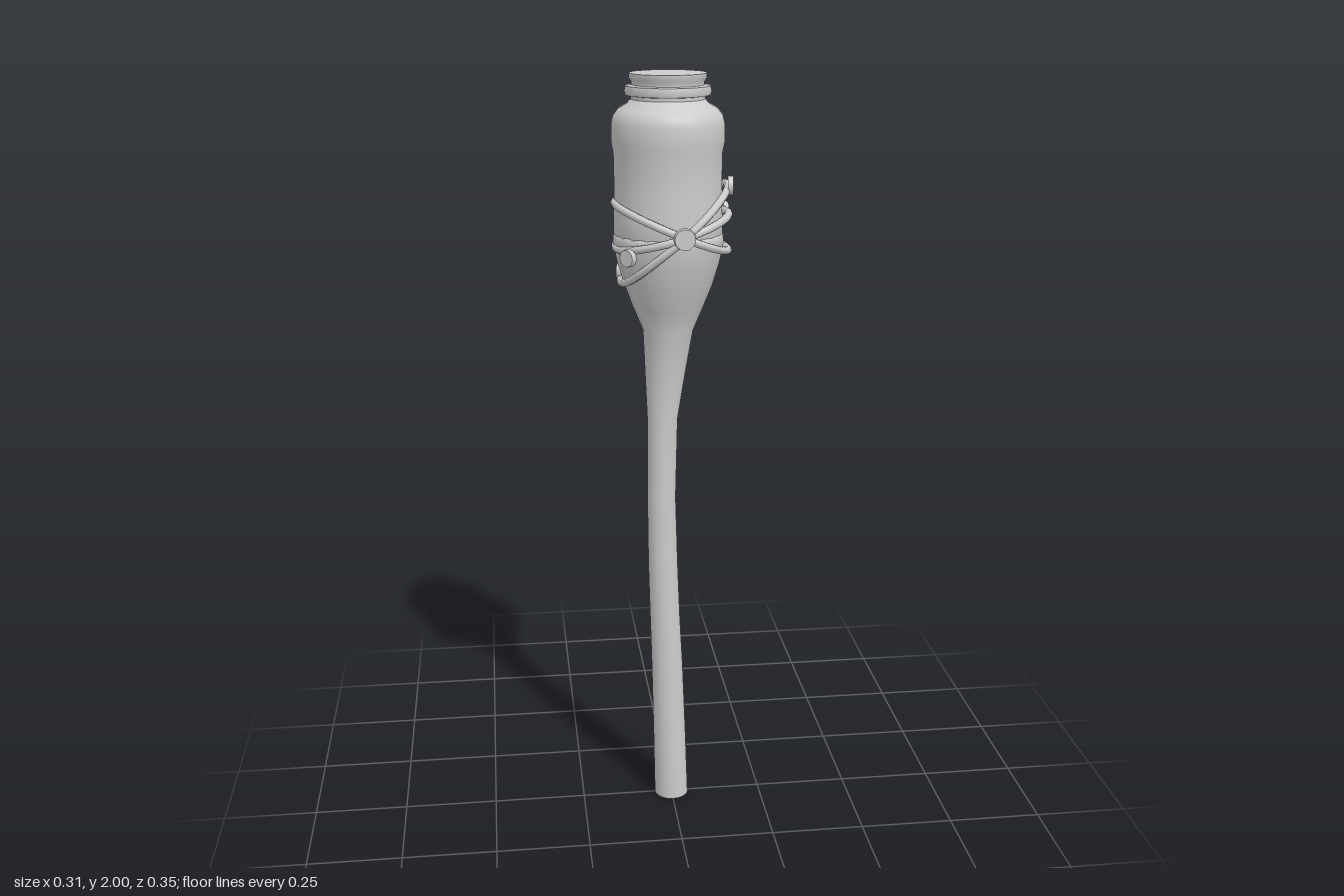
import * as THREE from 'three';
import { toCreasedNormals, mergeVertices } from 'three/addons/utils/BufferGeometryUtils.js';

const material = new THREE.MeshStandardMaterial({ color: 0xcccccc });

function add(parent, name, geometry) {
  const mesh = new THREE.Mesh(geometry, material);
  mesh.name = name;
  parent.add(mesh);
  return mesh;
}

// Curved wooden shaft that swells into a cup: [height, radius, x of the centre]
function shaftGeometry() {
  const sections = [
    [0, 0.047, 0], [0.2, 0.045, -0.005], [0.4, 0.043, -0.011], [0.55, 0.041, -0.017],
    [0.7, 0.04, -0.022], [0.9, 0.038, -0.026], [1.12, 0.04, -0.023], [1.24, 0.052, -0.016],
    [1.36, 0.065, -0.008], [1.42, 0.09, -0.008], [1.48, 0.113, -0.007], [1.54, 0.131, -0.007],
    [1.59, 0.141, -0.007], [1.61, 0.139, -0.007], [1.615, 0.125, -0.007],
  ];
  const geometry = new THREE.LatheGeometry(sections.map(([y, r]) => new THREE.Vector2(r, y)), 20);
  const p = geometry.attributes.position;
  for (let i = 0; i < p.count; i++) p.setX(i, p.getX(i) + sections[i % sections.length][2]);
  geometry.deleteAttribute('uv');
  geometry.deleteAttribute('normal');
  const merged = mergeVertices(geometry);
  merged.computeVertexNormals();
  return merged;
}

// Jar with rounded shoulder, neck collar and flat lid
function jarGeometry() {
  const profile = [
    [0, 1.56], [0.11, 1.56], [0.128, 1.58], [0.138, 1.61], [0.137, 1.65], [0.135, 1.72],
    [0.136, 1.81], [0.141, 1.835], [0.141, 1.88], [0.136, 1.9], [0.124, 1.915], [0.103, 1.927],
    [0.092, 1.938], [0.092, 1.946], [0.105, 1.948], [0.108, 1.958], [0.105, 1.97],
    [0.09, 1.972], [0.09, 1.98], [0.096, 1.988], [0.096, 2], [0, 2],
  ].map(([r, y]) => new THREE.Vector2(r, y));
  return toCreasedNormals(new THREE.LatheGeometry(profile, 24), 0.75);
}

// Closed rope on a tilted plane, hugging the cup where it dips low
function ropeGeometry(slope, phase) {
  const points = [];
  const n = 18;
  for (let i = 0; i < n; i++) {
    const a = (i / n) * Math.PI * 2;
    const wobble = 1 + 0.012 * Math.sin(3 * a + phase);
    const y = 1.62 + slope * (0.143 * Math.cos(a) - 0.015);
    const fit = wobble * (y < 1.57 ? 1 - (1.57 - y) * 1.3 : 1);
    points.push(new THREE.Vector3(0.143 * fit * Math.cos(a), y, 0.154 * fit * Math.sin(a)));
  }
  return new THREE.TubeGeometry(new THREE.CatmullRomCurve3(points, true), 36, 0.01, 8, true);
}

export function createModel() {
  const model = new THREE.Group();
  model.name = 'jarTorch';

  add(model, 'shaft', shaftGeometry());
  const end = add(model, 'shaftEnd', new THREE.CircleGeometry(0.047, 20));
  end.rotation.x = Math.PI / 2;

  const jar = add(model, 'jar', jarGeometry());
  jar.position.x = -0.008;

  // Three ropes crossing at the front and back
  const ropes = new THREE.Group();
  ropes.name = 'ropes';
  model.add(ropes);
  [-0.42, 0.29, 0.85].forEach((slope, i) => add(ropes, 'rope', ropeGeometry(slope, i * 2)));

  // Round studs on the ropes, facing outward: [x, y, z, radius, facing angle]
  const studs = new THREE.Group();
  studs.name = 'studs';
  model.add(studs);
  [
    [0.014, 1.62, 0.166, 0.028, 0],
    [0.003, 1.62, -0.166, 0.028, Math.PI + 0.15],
    [0.143, 1.73, 0.046, 0.025, 1.4],
    [0.143, 1.657, -0.055, 0.021, 1.75],
    [-0.12, 1.567, 0.109, 0.023, -0.83],
    [-0.127, 1.505, -0.04, 0.022, -1.85],
  ].forEach(([x, y, z, r, angle]) => {
    const disc = new THREE.CylinderGeometry(r * 0.93, r, 0.014, 12).rotateX(Math.PI / 2).rotateY(angle);
    add(studs, 'stud', disc).position.set(x, y, z);
  });

  return model;
}
